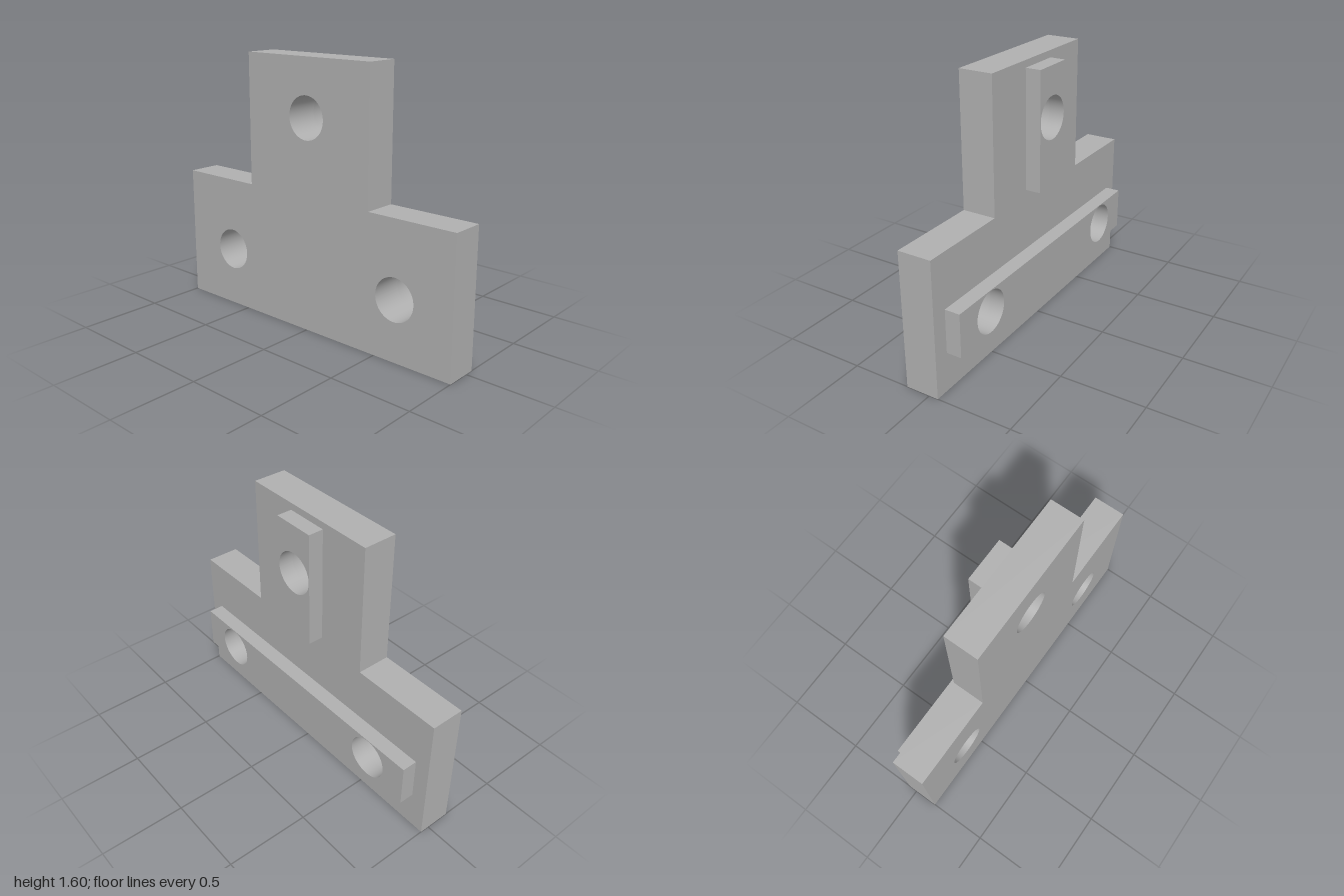
import * as THREE from 'three';
import { toCreasedNormals } from 'three/addons/utils/BufferGeometryUtils.js';

const HOLE_RADIUS = 0.126;
const LOWER_HOLES = [[-0.63, 0.36], [0.63, 0.36]];
const UPPER_HOLES = [[0, 1.26]];

// Extrudes an outline with round bolt holes from zBack to zFront
function drilledPlate(name, outline, holes, zBack, zFront, material) {
  const shape = new THREE.Shape(outline.map(([x, y]) => new THREE.Vector2(x, y)));
  for (const [x, y] of holes) {
    shape.holes.push(new THREE.Path().absarc(x, y, HOLE_RADIUS, 0, Math.PI * 2, true));
  }
  const extruded = new THREE.ExtrudeGeometry(shape, {
    depth: zFront - zBack, bevelEnabled: false, curveSegments: 32,
  });
  const geometry = toCreasedNormals(extruded, 0.6);
  geometry.translate(0, 0, zBack);
  geometry.clearGroups();
  const mesh = new THREE.Mesh(geometry, material);
  mesh.name = name;
  return mesh;
}

// Rectangle centred on x = 0
const rectangle = (halfWidth, y0, y1) =>
  [[-halfWidth, y0], [halfWidth, y0], [halfWidth, y1], [-halfWidth, y1]];

export function createModel() {
  const group = new THREE.Group();
  group.name = 'teeBracket';
  const grey = new THREE.MeshStandardMaterial({ color: 0xb0b0b0 });
  grey.name = 'grey';

  // Main plate: wide foot with a narrower upright
  const tee = [
    [-1, 0], [1, 0], [1, 0.81], [0.447, 0.81],
    [0.447, 1.597], [-0.447, 1.597], [-0.447, 0.81], [-1, 0.81],
  ];
  group.add(drilledPlate('teePlate', tee, [...LOWER_HOLES, ...UPPER_HOLES], -0.055, 0.146, grey));

  // Locating rails on the back, drilled through with the plate
  group.add(drilledPlate('horizontalRail', rectangle(0.907, 0.231, 0.49), LOWER_HOLES, -0.146, -0.055, grey));
  group.add(drilledPlate('verticalRail', rectangle(0.13, 0.857, 1.555), UPPER_HOLES, -0.146, -0.055, grey));

  return group;
}
